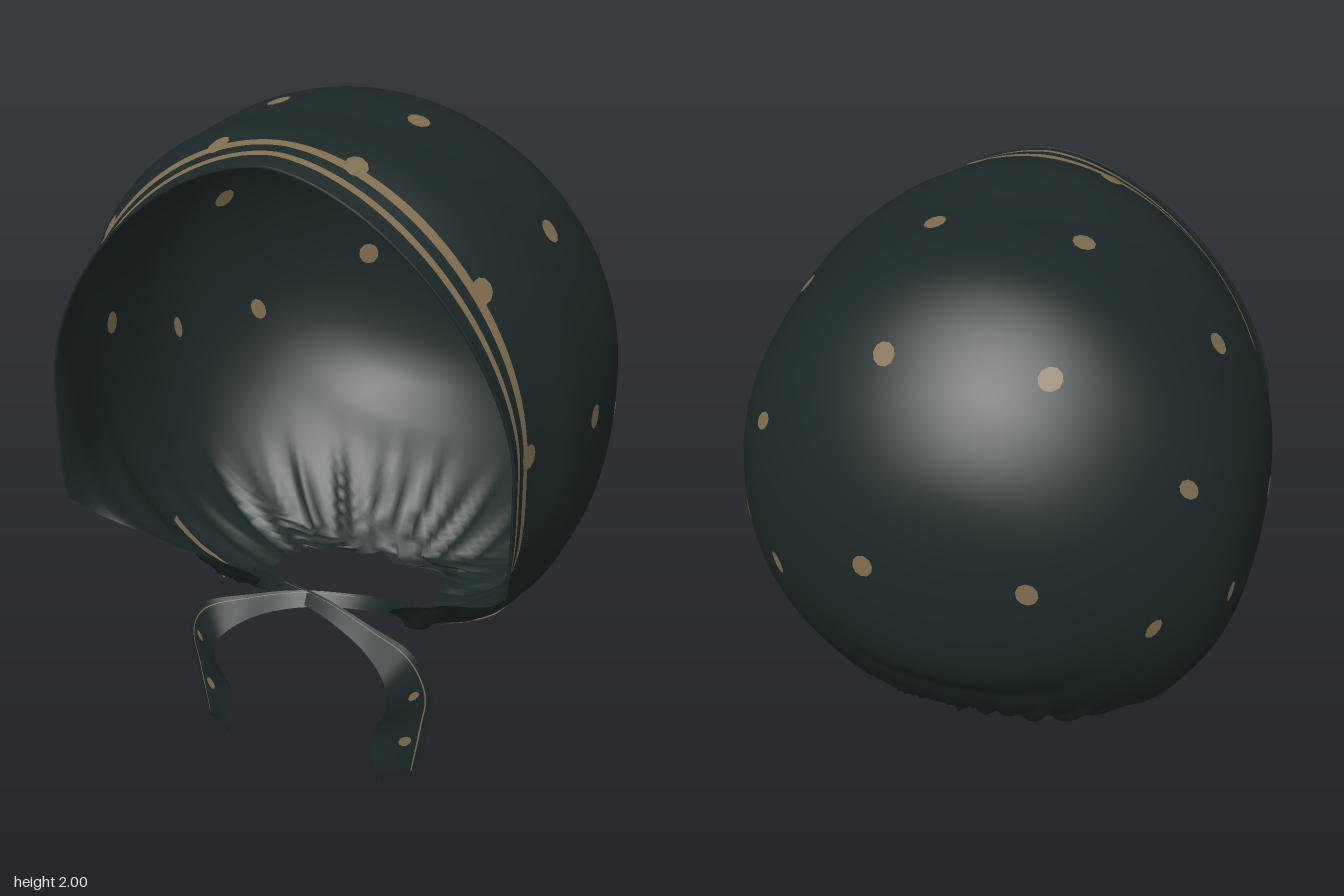
import * as THREE from 'three';
import { mergeVertices } from 'three/addons/utils/BufferGeometryUtils.js';
import { ParametricGeometry } from 'three/addons/geometries/ParametricGeometry.js';

const V = (x, y, z) => new THREE.Vector3(x, y, z);
const { smoothstep, lerp, clamp } = THREE.MathUtils;
const BACK = -0.605, FRONT = 0.605, MID = 1.2;

// Cap sections from back to front: z, half width, top, bottom
const sections = [
  [-0.605, 0, 1.2, 1.2], [-0.59, 0.17, 1.37, 0.99], [-0.55, 0.325, 1.53, 0.87],
  [-0.45, 0.512, 1.708, 0.74], [-0.38, 0.595, 1.788, 0.63], [-0.25, 0.703, 1.897, 0.48],
  [-0.13, 0.752, 1.96, 0.4], [0, 0.77, 1.985, 0.388], [0.2, 0.77, 1.985, 0.4],
  [0.3, 0.755, 1.993, 0.513], [0.4, 0.713, 2.0, 0.596], [0.48, 0.692, 1.99, 0.652],
  [0.57, 0.69, 1.97, 0.55], [0.605, 0.7, 1.96, 0.5],
];
// Height of the cut edge: neck hole, then the slope up to the face opening
const cuts = [[-0.7, 0.411], [0.2, 0.411], [0.245, 0.46], [0.32, 0.55], [0.46, 0.68], [0.575, 0.8], [0.605, 0.83]];

const toS = z => Math.sqrt(Math.max(0, z - BACK));
function cutY(z) {
  let i = 0;
  while (i < cuts.length - 2 && z > cuts[i + 1][0]) i++;
  const [a, b] = [cuts[i], cuts[i + 1]];
  return lerp(a[1], b[1], clamp((z - a[0]) / (b[0] - a[0]), 0, 1));
}

// Smooth interpolation of one column of the section table
function sectionAt(z, col) {
  const s = toS(z), n = sections.length;
  let i = 0;
  while (i < n - 2 && z > sections[i + 1][0]) i++;
  const S = k => toS(sections[k][0]), P = k => sections[k][col];
  const slope = k => {
    const a = Math.max(0, k - 1), b = Math.min(n - 1, k + 1);
    return (P(b) - P(a)) / (S(b) - S(a));
  };
  const h = S(i + 1) - S(i), t = clamp((s - S(i)) / h, 0, 1), t2 = t * t, t3 = t2 * t;
  return (2 * t3 - 3 * t2 + 1) * P(i) + (t3 - 2 * t2 + t) * h * slope(i)
    + (3 * t2 - 2 * t3) * P(i + 1) + (t3 - t2) * h * slope(i + 1);
}
// Roundness of the section above and below its widest level
const highPower = z => 2 + 0.06 * smoothstep(z, 0, 0.3) - 0.36 * smoothstep(z, 0.36, 0.6);
const lowPower = z => 2.2 + 0.3 * smoothstep(z, -0.3, 0) + 1.5 * smoothstep(z, 0.28, 0.5);

function implicit(p) {
  const z = clamp(p.z, BACK + 1e-4, FRONT), up = p.y > MID;
  const n = up ? highPower(z) : lowPower(z);
  const h = up ? sectionAt(z, 2) - MID : MID - sectionAt(z, 3);
  return (Math.abs(p.x) / sectionAt(z, 1)) ** n + (Math.abs(p.y - MID) / h) ** n - 1;
}
function normalAt(p) {
  const e = 0.004, q = p.clone();
  q.z = clamp(q.z, BACK + 0.01, FRONT - 0.01);
  const d = v => implicit(q.clone().add(v)) - implicit(q.clone().sub(v));
  return V(d(V(e, 0, 0)), d(V(0, e, 0)), d(V(0, 0, e))).normalize();
}
// The face opening leans back towards the cheeks
const lean = p => 0.025 * smoothstep(p.z, 0.42, 0.6) * (1 - smoothstep(p.y, 1.0, 1.95));

// Point on the cap; phi runs from the crown (0) down either side
function capPoint(z, phi, off = 0) {
  const c = Math.cos(phi), s = Math.sin(phi), k = 2 / (c > 0 ? highPower(z) : lowPower(z));
  const h = c > 0 ? sectionAt(z, 2) - MID : MID - sectionAt(z, 3);
  const p = V(Math.sign(s) * sectionAt(z, 1) * Math.abs(s) ** k, MID + Math.sign(c) * h * Math.abs(c) ** k, z);
  if (off) p.addScaledVector(normalAt(p), off);
  // gathers towards the neck
  const a = Math.atan2(p.x, p.z - 0.05), g = 1 - smoothstep(p.y, 0.42, 0.8);
  const w = g * g * 0.016 * (Math.sin(a * 26) + 0.5 * Math.sin(a * 43 + 1)) * smoothstep(0.42 - z, 0, 0.2);
  p.add(V(Math.sin(a) * w, -0.7 * Math.abs(w), Math.cos(a) * w));
  p.z -= lean(p);
  return p;
}
function phiAtY(z, y) {
  const r = (MID - y) / (MID - sectionAt(z, 3));
  return r >= 1 ? Math.PI : Math.PI - Math.acos(Math.max(0, r) ** (lowPower(z) / 2));
}
const phiEnd = z => phiAtY(z, cutY(z));

function surface(fn, nu, nv) {
  let g = new ParametricGeometry((u, v, t) => t.copy(fn(u, v)), nu, nv);
  g.deleteAttribute('uv');
  g.deleteAttribute('normal');
  g = mergeVertices(g, 1e-5);
  g.computeVertexNormals();
  return g;
}

export function createModel() {
  const root = new THREE.Group();
  root.name = 'bonnet';
  const cloth = new THREE.MeshStandardMaterial({ color: 0x1c2727, side: THREE.DoubleSide });
  cloth.name = 'dark green cloth';
  const gold = new THREE.MeshStandardMaterial({ color: 0x806d4f, side: THREE.DoubleSide });
  gold.name = 'dull gold print';
  const add = (geo, mat, name, parent = root) => {
    const m = new THREE.Mesh(geo, mat);
    m.name = name;
    parent.add(m);
    return m;
  };

  // Cap
  const rowZ = u => BACK + (u * toS(FRONT)) ** 2;
  add(surface((u, v) => { const z = rowZ(u); return capPoint(z, (2 * v - 1) * phiEnd(z)); }, 90, 200), cloth, 'cap');

  // Hem round the face opening
  const hem = [];
  for (let i = 0; i <= 60; i++) hem.push(capPoint(FRONT - 0.005, (i / 30 - 1) * phiEnd(FRONT - 0.005)));
  add(new THREE.TubeGeometry(new THREE.CatmullRomCurve3(hem), 120, 0.005, 6), cloth, 'faceHem');

  // Two border stripes over the crown
  const underEdge = (z, d) => phiAtY(z, cutY(z) + 0.9 * d);
  for (const [d, w] of [[0.062, 0.01], [0.115, 0.013]])
    add(surface((u, v) => {
      const e = d + (2 * u - 1) * w, z = FRONT - e;
      return capPoint(z, (2 * v - 1) * underEdge(z, e), 0.004);
    }, 2, 160), gold, 'borderStripe');

  // The inner stripe runs on below the cheeks and shows again at the neck corners
  for (const side of [1, -1]) {
    add(surface((u, v) => {
      const e = 0.105 + (2 * u - 1) * 0.015 * (1 - 0.8 * v), z = lerp(FRONT - e, 0.35, v);
      return capPoint(z, side * underEdge(z, e), 0.004);
    }, 2, 24), gold, 'cheekStripe');
    for (const off of [0.004, -0.004])
      add(surface((u, v) => {
        const z = 0.19 + 0.034 * (u - 0.5) - 0.03 * v;
        return capPoint(z, side * phiAtY(z, lerp(0.45, 0.57, v)), off);
      }, 2, 10), gold, 'neckStripe');
  }

  // Printed spots, showing inside and out: x, y, z and relative width
  const spots = [
    [0.59, 1.47, -0.29, 0.75], [0.225, 1.78, -0.33, 1], [0.6, 1.7, 0.09, 1], [0.21, 1.95, 0.09, 1],
    [0.77, 1.2, 0.145, 0.9], [0.72, 1.06, -0.18, 0.45], [0.53, 1.07, -0.39, 0.7], [0.23, 1.25, -0.57, 0.95],
    [0.2, 1.95, 0.475, 1], [0.56, 1.67, 0.475, 1], [0.69, 1.21, 0.465, 1],
  ];
  const disc = new THREE.CircleGeometry(0.033, 10);
  const centre = V(0, MID, 0);
  for (const [x, y, z, wide] of spots) for (const side of [1, -1]) {
    const dir = V(x * side, y - MID, z);
    let lo = 0.5, hi = 1.5;
    for (let i = 0; i < 30; i++) {
      const m = (lo + hi) / 2, p = centre.clone().addScaledVector(dir, m);
      if (p.z <= BACK || p.z >= FRONT || implicit(p) > 0) hi = m; else lo = m;
    }
    const p = centre.clone().addScaledVector(dir, lo), n = normalAt(p);
    // spots on the border show on the outside only
    for (const off of z > 0.4 ? [0.004] : [0.004, -0.004]) {
      const m = add(disc, gold, 'spot');
      m.position.copy(p).addScaledVector(n, off);
      m.position.z -= lean(p);
      m.quaternion.setFromUnitVectors(V(0, 0, 1), n);
      m.scale.set(wide, 1.1, 1);
    }
  }

  // Ties: ribbons between an outer and an inner edge, crossing under the chin
  const outer = [[-0.27, 0.5, 0.22], [-0.12, 0.535, 0.3], [0.05, 0.535, 0.35], [0.2, 0.5, 0.38],
    [0.34, 0.455, 0.4], [0.4, 0.33, 0.385], [0.39, 0.2, 0.38], [0.355, 0.03, 0.38]];
  const inner = [[-0.25, 0.44, 0.23], [-0.12, 0.495, 0.32], [0.05, 0.49, 0.38], [0.2, 0.43, 0.42],
    [0.275, 0.36, 0.45], [0.28, 0.26, 0.45], [0.235, 0.17, 0.445], [0.245, 0.03, 0.45]];
  for (const side of [1, -1]) {
    const tie = new THREE.Group();
    tie.name = side > 0 ? 'leftTie' : 'rightTie';
    root.add(tie);
    const lift = side > 0 ? 0 : 0.025;
    const edge = pts => new THREE.CatmullRomCurve3(pts.map(([x, y, z], i) =>
      V(x * side, y + (i > 4 ? lift : 0), z - (i < 4 ? lift * 0.5 : 0))));
    const A = edge(outer), B = edge(inner);
    const at = (u, v, off = 0) => {
      const a = A.getPoint(v), b = B.getPoint(v), p = a.clone().lerp(b, u);
      if (off) p.addScaledVector(b.sub(a).cross(A.getTangent(v)).normalize(), off);
      return p;
    };
    add(surface((u, v) => at(u, v), 4, 60), cloth, 'ribbon', tie);
    for (const off of [0.003, -0.003]) {
      add(surface((u, v) => at(0.13 + 0.03 * u, 0.15 + 0.85 * v, off), 1, 60), gold, 'ribbonStripe', tie);
      for (const v0 of [0.7, 0.9])
        add(surface((u, v) => {
          const t = u * Math.PI * 2;
          return at(0.38 + 0.12 * v * Math.cos(t), v0 + 0.016 * v * Math.sin(t), off);
        }, 10, 1), gold, 'ribbonSpot', tie);
    }
    // Fringe at the ribbon end
    for (let i = 0; i < 10; i++) {
      const len = i % 3 ? 0.022 : 0.03;
      const m = add(new THREE.BoxGeometry(0.004, len, 0.004), cloth, 'fringe', tie);
      m.position.copy(at((i + 0.5) / 10, 1)).y -= len / 2;
    }
  }
  return root;
}
